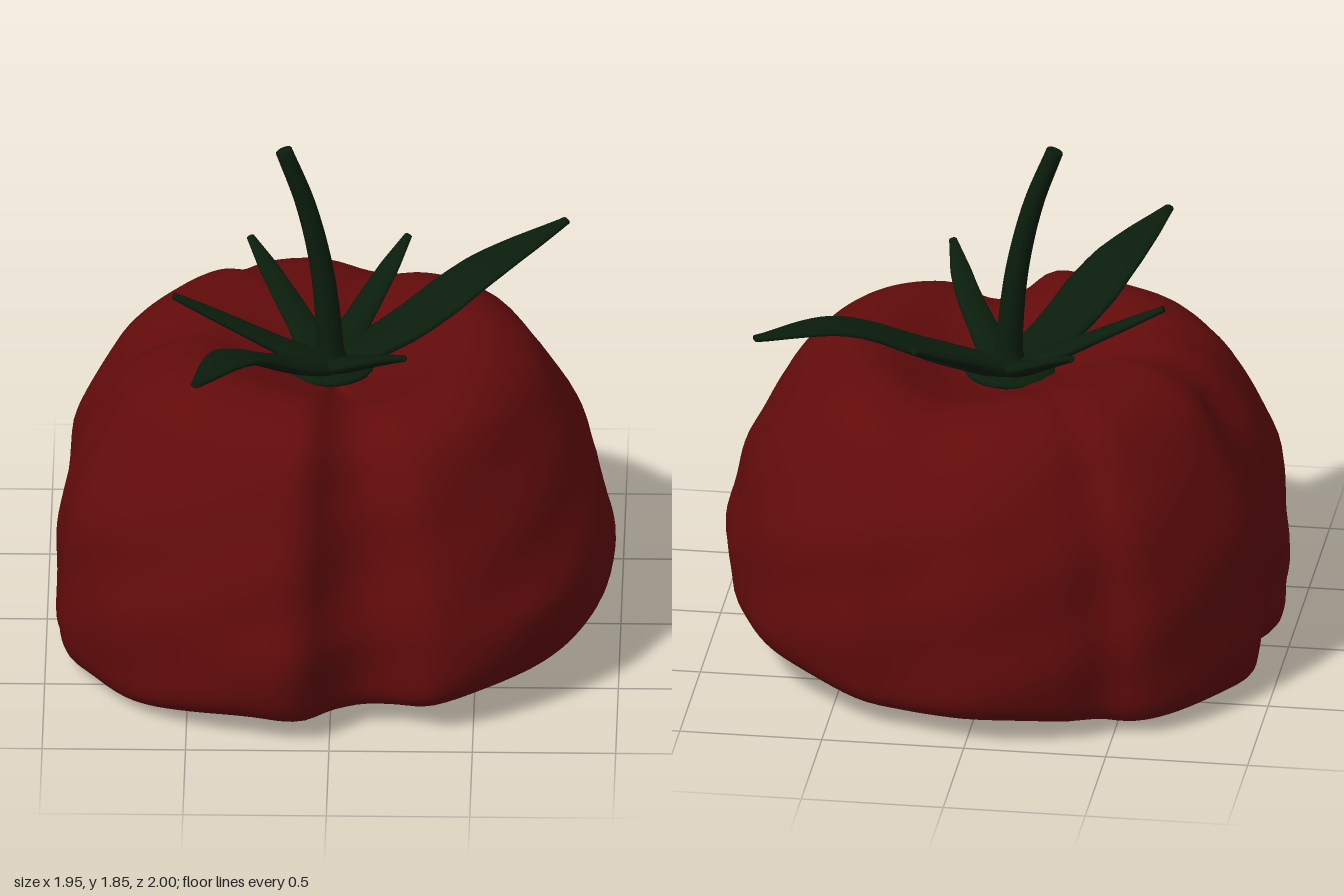
import * as THREE from 'three';

const red = new THREE.MeshStandardMaterial({ color: 0x620b0b });
const green = new THREE.MeshStandardMaterial({ color: 0x0a1d0c });
const V = (x, y, z) => new THREE.Vector3(x, y, z);

// Smooth skin over closed rings of points, counter-clockwise about the direction of travel
function loft(rings) {
  const n = rings[0].length, index = [];
  for (let i = 0; i < rings.length - 1; i++) {
    for (let j = 0; j < n; j++) {
      const k = (j + 1) % n, a = i * n + j, b = i * n + k;
      index.push(a, b, a + n, b, b + n, a + n);
    }
  }
  const geo = new THREE.BufferGeometry().setFromPoints(rings.flat());
  geo.setIndex(index);
  geo.computeVertexNormals();
  return geo;
}

// Elliptical tube along a path; halfSize(t) returns [half width, half thickness]
function sweep(points, halfSize, steps, sides) {
  const curve = new THREE.CatmullRomCurve3(points);
  const side = V(0, 0, 0), up = V(0, 0, 0), rings = [];
  const ref = Math.abs(points.at(-1).y - points[0].y) > 0.6 ? V(0, 0, 1) : V(0, 1, 0);
  const ring = (t, scale) => {
    const p = curve.getPoint(t), d = curve.getTangent(t), [w, h] = halfSize(t);
    side.crossVectors(ref, d).normalize();
    up.crossVectors(d, side);
    return Array.from({ length: sides }, (_, j) => {
      const a = j / sides * Math.PI * 2;
      return p.clone().addScaledVector(side, Math.cos(a) * w * scale)
        .addScaledVector(up, Math.sin(a) * h * scale);
    });
  };
  rings.push(ring(0, 0));
  for (let i = 0; i <= steps; i++) rings.push(ring(i / steps, 1));
  rings.push(ring(1, 0.75), ring(1, 0));
  return loft(rings);
}

// Linear interpolation through evenly spaced values
function lerpList(list, t) {
  const f = t * (list.length - 1), i = Math.min(Math.floor(f), list.length - 2);
  return THREE.MathUtils.lerp(list[i], list[i + 1], f - i);
}

// Lumpy fruit: irregular plan outline scaled by a side profile
function fruitGeometry() {
  const outline = [
    [0.97, 0.04], [0.93, 0.3], [0.8, 0.57], [0.6, 0.77], [0.37, 0.88], [0.25, 0.84], [0.13, 0.82],
    [0.02, 0.87], [-0.1, 0.98], [-0.17, 0.99], [-0.27, 0.96], [-0.5, 0.87], [-0.72, 0.73],
    [-0.87, 0.53], [-0.94, 0.4], [-0.95, 0.28], [-0.97, 0.12], [-0.92, -0.04], [-0.93, -0.17],
    [-0.95, -0.32], [-0.9, -0.47], [-0.75, -0.7], [-0.6, -0.83], [-0.48, -0.85], [-0.35, -0.93],
    [-0.15, -0.985], [0, -0.99], [0.15, -0.955], [0.27, -0.925], [0.4, -0.9], [0.55, -0.82],
    [0.75, -0.65], [0.87, -0.42], [0.92, -0.3], [0.945, -0.15],
  ].reverse().map(([x, z]) => V(x, 0, z));
  const plan = new THREE.CatmullRomCurve3(outline, true).getSpacedPoints(128).slice(0, 128);

  // Profile: x = fraction of the outline, y = height above the rim
  const profile = new THREE.CatmullRomCurve3([
    [0, 0.04], [0.5, 0.02], [0.82, 0], [0.93, 0], [0.98, 0.05], [1, 0.16], [1, 0.32], [0.985, 0.48], [0.95, 0.68],
    [0.89, 0.86], [0.78, 1.02], [0.63, 1.1], [0.5, 1.11], [0.37, 1.075], [0.22, 1.02], [0.1, 0.985], [0, 0.98],
  ].map(([x, y]) => V(x, y, 0))).getPoints(64);

  return loft(profile.map(({ x: f, y: h }) => plan.map((p) => {
    const r = Math.hypot(p.x, p.z), a = Math.atan2(p.z, p.x);
    const low = Math.max(0, 1 - h / 0.9);
    // The rim is tilted and wavy, fading out towards the top
    const x = p.x * f;
    const rim = 0.074 + 0.02 * x + (x > 0 ? 0.11 : 0.07) * x ** 3 + 0.008 * f * Math.sin(7 * a + 1);
    // Soft grooves over the shoulders, and a shallow valley from front to back
    const over = THREE.MathUtils.smoothstep(h, 0.6, 1);
    const ease = Math.sin(Math.PI * Math.min(1, f));
    const groove = over * ease * ((0.95 - r) * 0.28 + 0.05 * Math.exp(-(((x - 0.15) / 0.2) ** 2)));
    // The front and left slope in earlier than the back
    const slope = Math.sin(Math.PI * THREE.MathUtils.clamp((h - 0.3) / 0.8, 0, 1));
    const lean = 1 - 0.06 * slope * Math.max(0, 0.55 * p.x + 0.9 * p.z) - 0.05 * over * Math.abs(p.x);
    const lump = 1 + 0.012 * Math.sin(5 * a + 7 * h) * Math.sin(9 * h + 2 * a) * f;
    const s = f * lump * lean;
    return V(p.x * s, h + rim * low - groove, p.z * s);
  })));
}

export function createModel() {
  const group = new THREE.Group();
  const add = (name, geo, material) => {
    const mesh = new THREE.Mesh(geo, material);
    mesh.name = name;
    group.add(mesh);
    return mesh;
  };

  add('fruit', fruitGeometry(), red);

  // Curved stem, flared at the base
  add('stem', sweep(
    [V(-0.01, 0.98, 0.01), V(-0.02, 1.18, 0.01), V(-0.045, 1.4, 0.01), V(-0.1, 1.64, 0.01), V(-0.175, 1.845, 0.01)],
    (t) => { const r = 0.03 + 0.02 * (1 - t) + 0.05 * Math.max(0, 1 - t * 7) ** 2; return [r, r]; }, 28, 16), green);

  // Hub joining the sepals
  const hub = add('sepalHub', new THREE.SphereGeometry(0.16, 24, 12), green);
  hub.scale.y = 0.2;
  hub.position.set(-0.02, 1.005, 0);

  // Sepals: two long broad leaves and four short pointed ones; the last number bows them sideways
  const long = { y: [1, 1.105, 1.255, 1.308], w: [0.09, 0.095, 0.11, 0.115, 0.095, 0.06, 0.018] };
  const short = { y: [1, 1.07, 1.165, 1.27], w: [0.1, 0.075, 0.057, 0.049, 0.038, 0.014] };
  const sepals = [
    [0.8, -0.53, long, 0.07], [-0.47, 0.76, long, 0.05],
    [0.25, -0.48, short, 0], [-0.3, -0.46, short, 0], [-0.56, 0, short, 0], [0.25, 0.47, short, -0.03],
  ];
  for (const [x, z, kind, bow] of sepals) {
    const reach = Math.hypot(x, z);
    const path = kind.y.map((y, i) => {
      const t = [0, 0.28, 0.62, 1][i], b = bow * Math.sin(Math.PI * t) / reach;
      return V(-0.02 + (x + 0.02) * t - z * b, y, z * t + x * b);
    });
    add(kind === long ? 'longSepal' : 'shortSepal', sweep(path,
      (t) => [lerpList(kind.w, t), 0.012 + 0.02 * (1 - t)], 28, 14), green);
  }
  return group;
}
